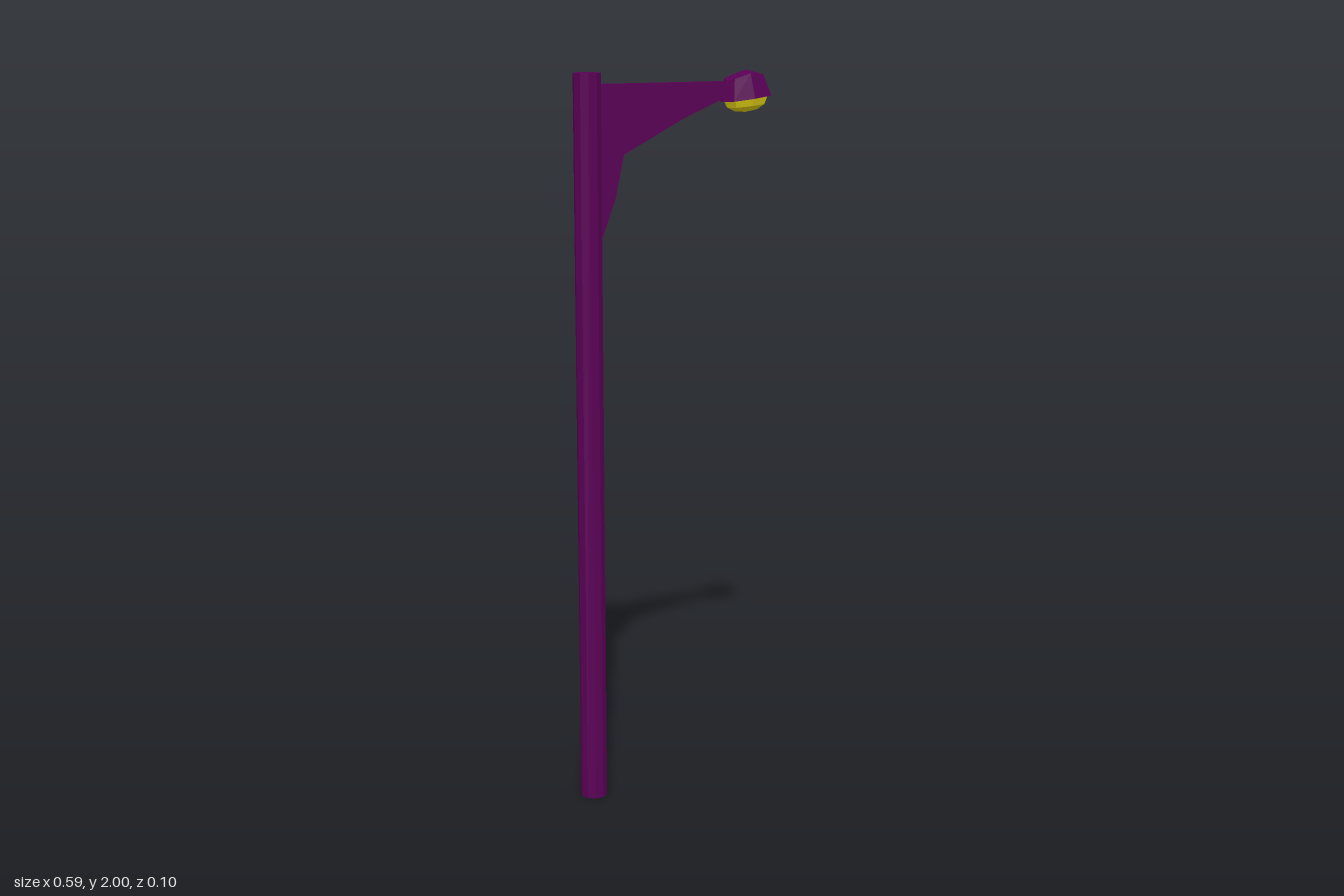
import * as THREE from 'three';

const purple = new THREE.MeshStandardMaterial({ color: 0x5a0056 });
purple.name = 'purple metal';
purple.flatShading = true;
const yellow = new THREE.MeshStandardMaterial({ color: 0xdccb14 });
yellow.name = 'yellow lamp';
yellow.flatShading = true;

function add(group, name, geometry, material) {
  const mesh = new THREE.Mesh(geometry, material);
  mesh.name = name;
  group.add(mesh);
  return mesh;
}

// Closed solid lofted through stacked rings (bottom to top), fanned to end points
function loft(rings, bottom, top) {
  const n = rings[0].length, pos = [];
  const tri = (...points) => points.forEach((p) => pos.push(...p));
  for (let i = 0; i < n; i++) {
    const j = (i + 1) % n;
    tri(bottom, rings[0][j], rings[0][i]);
    for (let r = 0; r + 1 < rings.length; r++) {
      const [a, b, c, d] = [rings[r][i], rings[r][j], rings[r + 1][j], rings[r + 1][i]];
      tri(a, b, c);
      tri(a, c, d);
    }
    const last = rings[rings.length - 1];
    tri(last[i], last[j], top);
  }
  const geometry = new THREE.BufferGeometry();
  geometry.setAttribute('position', new THREE.Float32BufferAttribute(pos, 3));
  geometry.computeVertexNormals();
  return geometry;
}

// Stretched octagon, tilted upward toward the tip and optionally arched along x
function ring(cx, y, rx, rz, tilt, arch = 0) {
  const corners = [[1, 0], [0.78, -0.78], [0, -1], [-0.8, -0.78], [-1, 0], [-0.8, 0.78], [0, 1], [0.78, 0.78]];
  return corners.map(([x, z]) => [cx + x * rx, y + x * tilt + arch * (1 - x * x), z * rz]);
}

export function createModel() {
  const group = new THREE.Group();
  group.name = 'streetLamp';

  // Ten-sided pole
  const pole = add(group, 'pole', new THREE.CylinderGeometry(0.037, 0.037, 2, 10), purple);
  pole.rotation.y = Math.PI / 2;
  pole.position.set(-0.259, 1, 0);

  // Tapered bracket arm
  const outline = [
    [-0.24, 1.97], [-0.24, 1.54], [-0.222, 1.578], [-0.185, 1.675], [-0.16, 1.787],
    [0.02, 1.876], [0.15, 1.928], [0.18, 1.935], [0.18, 1.97],
  ].map(([x, y]) => new THREE.Vector2(x, y));
  const armGeometry = new THREE.ExtrudeGeometry(new THREE.Shape(outline), { depth: 0.031, bevelEnabled: false });
  armGeometry.translate(0, 0, -0.0155);
  add(group, 'bracketArm', armGeometry, purple);

  // Faceted lamp housing with a gently arched top
  add(group, 'lampHousing', loft(
    [ring(0.22, 1.924, 0.074, 0.049, 0.009), ring(0.213, 1.977, 0.056, 0.036, 0.007, 0.014)],
    [0.22, 1.924, 0], [0.222, 2, 0],
  ), purple);

  // Rounded lens bulging from the underside
  add(group, 'lampLens', loft(
    [ring(0.219, 1.892, 0.034, 0.022, 0.003), ring(0.219, 1.904, 0.055, 0.035, 0.005),
      ring(0.219, 1.925, 0.064, 0.041, 0.007)],
    [0.219, 1.887, 0], [0.219, 1.926, 0],
  ), yellow);

  return group;
}
